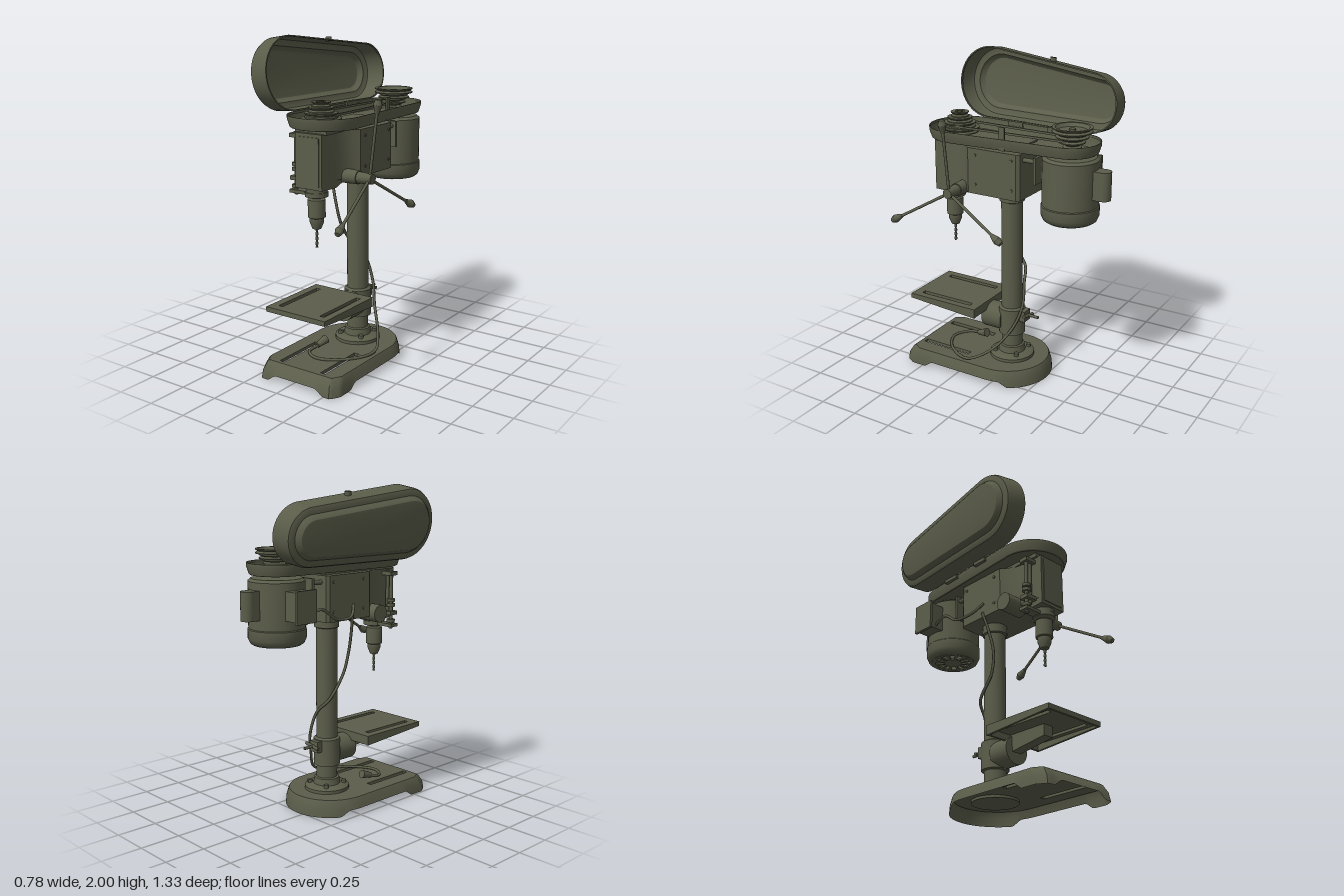
import * as THREE from 'three';
import { toCreasedNormals } from 'three/addons/utils/BufferGeometryUtils.js';

const paint = new THREE.MeshStandardMaterial({ color: 0x5b5d4a, side: THREE.DoubleSide });
paint.name = 'olive paint';
const CX = 0.045; // shared centre line of column, spindle and motor
const V = (x, y, z) => new THREE.Vector3(x, y, z);

export function createModel() {
  const model = new THREE.Group();
  model.name = 'drillPress';

  const add = (name, geo, x = 0, y = 0, z = 0, parent = model) => {
    const m = new THREE.Mesh(geo, paint);
    m.name = name;
    m.position.set(x, y, z);
    parent.add(m);
    return m;
  };
  const box = (name, x0, x1, y0, y1, z0, z1, parent) =>
    add(name, new THREE.BoxGeometry(x1 - x0, y1 - y0, z1 - z0), (x0 + x1) / 2, (y0 + y1) / 2, (z0 + z1) / 2, parent);
  // profile: [radius, y] pairs turned about a vertical axis
  const lathe = (name, profile, x, z, n = 32, parent) =>
    add(name, toCreasedNormals(new THREE.LatheGeometry(profile.map(p => new THREE.Vector2(p[0], p[1])), n), 0.6), x, 0, z, parent);
  const rod = (name, a, b, r0, r1 = r0, n = 12, parent) => {
    const d = b.clone().sub(a);
    const m = add(name, new THREE.CylinderGeometry(r1, r0, d.length(), n), 0, 0, 0, parent);
    m.position.copy(a).addScaledVector(d, 0.5);
    m.quaternion.setFromUnitVectors(V(0, 1, 0), d.normalize());
    return m;
  };
  const cable = (name, pts, r) =>
    add(name, new THREE.TubeGeometry(new THREE.CatmullRomCurve3(pts.map(p => V(...p))), 100, r, 8));
  // flat plan shape of [x, z] points, extruded upward from y0 to y1
  const planShape = pts => new THREE.Shape(pts.map(p => new THREE.Vector2(p[0], -p[1])));
  const slab = (name, shape, y0, y1) => add(name, toCreasedNormals(
    new THREE.ExtrudeGeometry(shape, { depth: y1 - y0, bevelEnabled: false }).rotateX(-Math.PI / 2), 0.6), 0, y0, 0);
  const slot = (shape, x0, x1, z0, z1) => shape.holes.push(new THREE.Path(
    [[x0, z0], [x0, z1], [x1, z1], [x1, z0]].map(p => new THREE.Vector2(p[0], -p[1]))));
  // skin over matching closed rings, with an optional cap on the last
  const loft = (rings, cap) => {
    const n = rings[0].length, pos = rings.flat(2), idx = [];
    for (let r = 0; r + 1 < rings.length; r++)
      for (let i = 0; i < n; i++) {
        const a = r * n + i, b = r * n + (i + 1) % n;
        idx.push(a, a + n, b, b, a + n, b + n);
      }
    if (cap) {
      const last = rings[rings.length - 1], c = pos.length / 3, o = c - n;
      pos.push(CX, last[0][1], 0);
      for (let i = 0; i < n; i++) idx.push(o + i, c, o + (i + 1) % n);
    }
    const g = new THREE.BufferGeometry();
    g.setAttribute('position', new THREE.Float32BufferAttribute(pos, 3));
    g.setIndex(idx);
    return toCreasedNormals(g, 0.5);
  };
  // outline around a front circle and a back circle
  const hull = (z1, r1, z2, r2, y, inset = 0, n = 28) => {
    const al = Math.asin((r1 - r2) / (z1 - z2)), pts = [];
    const arc = (z, r, t0, t1) => {
      for (let i = 0; i <= n; i++) {
        const t = t0 + (t1 - t0) * i / n;
        pts.push([CX + (r - inset) * Math.cos(t), y, z + (r - inset) * Math.sin(t)]);
      }
    };
    arc(z1, r1, -al, Math.PI + al);
    arc(z2, r2, Math.PI + al, 2 * Math.PI - al);
    return pts;
  };

  // Base: flared skirt with arched feet and a slotted top
  const plan = [[-0.285, 0.58], [-0.25, 0.64], [0.25, 0.64], [0.285, 0.58]];
  for (let i = 0; i <= 24; i++) {
    const t = Math.PI * i / 24;
    plan.push([0.285 * Math.cos(t), 0.02 - 0.285 * Math.sin(t)]);
  }
  const fine = planShape(plan.concat([plan[0]])).getSpacedPoints(160).map(p => [p.x, -p.y]);
  const ramp = (v, lo, hi) => THREE.MathUtils.clamp(Math.min(v - lo, hi - v) / 0.05, 0, 1);
  const baseRing = (s, yOf) => fine.map(([x, z]) => [CX + x * s, yOf(x, z), 0.02 + (z - 0.02) * s]);
  const arch = (x, z) => 0.038 * (z > 0.61 ? ramp(x, -0.2, 0.2) : ramp(z, -0.12, 0.48));
  add('baseSkirt', loft([baseRing(1, arch), baseRing(0.985, () => 0.05), baseRing(0.94, () => 0.095), baseRing(0.92, () => 0.105)]));
  const top = planShape(plan.map(([x, z]) => [CX + x * 0.92, 0.02 + (z - 0.02) * 0.92]));
  for (const s of [-1, 1]) slot(top, CX + s * 0.15 - 0.017, CX + s * 0.15 + 0.017, 0.22, 0.565);
  slab('baseTop', top, 0.085, 0.105);

  // Column with bolted flange
  lathe('columnFlange', [[0, 0.07], [0.14, 0.07], [0.14, 0.125], [0.125, 0.135], [0.085, 0.14], [0.078, 0.18], [0.066, 0.185]], CX, -0.01, 40);
  for (let i = 0; i < 4; i++) {
    const t = Math.PI / 4 + i * Math.PI / 2;
    add('flangeBolt', new THREE.CylinderGeometry(0.016, 0.016, 0.022, 6), CX + 0.108 * Math.cos(t), 0.145, -0.01 + 0.108 * Math.sin(t));
  }
  lathe('column', [[0.066, 0.1], [0.066, 1.22]], CX, -0.01);
  lathe('headCollar', [[0.066, 1.14], [0.077, 1.145], [0.077, 1.21]], CX, -0.01);

  // Table: slotted plate, tapering side walls, tilting bracket
  const plate = planShape([[-0.17, 0.625], [0.255, 0.625], [0.255, 0.14], [-0.17, 0.14]]);
  for (const s of [-1, 1]) slot(plate, CX + s * 0.15 - 0.015, CX + s * 0.15 + 0.015, 0.2, 0.57);
  slab('tablePlate', plate, 0.437, 0.455);
  const wedge = (name, x, w, pts) => add(name, new THREE.ExtrudeGeometry(
    new THREE.Shape(pts.map(p => new THREE.Vector2(-p[0], p[1]))), { depth: w, bevelEnabled: false }).rotateY(Math.PI / 2), x, 0, 0);
  for (const x of [-0.17, 0.24]) wedge('tableSide', x, 0.015, [[0.625, 0.455], [0.625, 0.425], [0.14, 0.395], [0.14, 0.455]]);
  box('tableFront', -0.17, 0.255, 0.425, 0.45, 0.61, 0.625);
  box('tableBack', -0.17, 0.255, 0.397, 0.45, 0.14, 0.155);
  wedge('tableRib', CX - 0.035, 0.07, [[0.42, 0.44], [0.42, 0.37], [0.16, 0.335], [0.16, 0.44]]);
  rod('tiltBoss', V(CX, 0.35, 0.03), V(CX, 0.35, 0.168), 0.085, 0.085, 32);
  lathe('tableClamp', [[0.066, 0.26], [0.083, 0.265], [0.083, 0.435], [0.066, 0.445]], CX, -0.01);
  box('clampLug', CX - 0.035, CX + 0.035, 0.36, 0.43, -0.12, -0.08);
  rod('clampScrew', V(CX, 0.4, -0.1), V(CX, 0.4, -0.2), 0.009);
  rod('clampLever', V(CX - 0.05, 0.39, -0.13), V(CX + 0.06, 0.41, -0.13), 0.01);

  // Head casting: narrow nose flaring into the wide body
  const half = [[0.093, 0.485], [0.095, 0.36], [0.105, 0.29], [0.13, 0.235], [0.16, 0.2], [0.16, -0.13], [0.145, -0.15]];
  const head = half.map(([x, z]) => [CX + x, z]).concat(half.map(([x, z]) => [CX - x, z]).reverse());
  slab('headBody', planShape(head), 1.2, 1.48);
  wedge('headNose', CX - 0.093, 0.186, [[0.485, 1.21], [0.485, 1.16], [0.35, 1.155], [0.22, 1.2], [0.22, 1.21]]);
  box('frontPanel', CX - 0.075, CX + 0.075, 1.18, 1.46, 0.48, 0.49);
  box('trayMount', CX - 0.11, CX + 0.11, 1.475, 1.51, -0.12, 0.46);
  for (const z of [-0.1, 0.15]) for (const y of [1.26, 1.44])
    rod('headScrew', V(CX - 0.166, y, z), V(CX + 0.166, y, z), 0.009, 0.009, 8);
  rod('springCap', V(-0.15, 1.215, 0.265), V(0, 1.215, 0.265), 0.055, 0.055, 24);

  // Quill, chuck and twist drill
  lathe('quill', [[0, 1.17], [0.062, 1.17], [0.062, 1.135], [0.068, 1.135], [0.068, 1.108], [0.035, 1.1], [0.035, 1.09]], CX, 0.41);
  lathe('chuck', [[0.03, 1.1], [0.052, 1.09], [0.052, 0.985], [0.042, 0.98], [0.042, 0.955], [0.026, 0.915], [0.008, 0.91]], CX, 0.41, 24);
  const bit = new THREE.BoxGeometry(0.017, 0.12, 0.007, 1, 30, 1), bp = bit.attributes.position;
  for (let i = 0; i < bp.count; i++) {
    const t = bp.getY(i) * 110, x = bp.getX(i), z = bp.getZ(i);
    bp.setXYZ(i, x * Math.cos(t) - z * Math.sin(t), bp.getY(i), x * Math.sin(t) + z * Math.cos(t));
  }
  bit.computeVertexNormals();
  add('drillBit', bit, CX, 0.86, 0.41);

  // Depth stop beside the nose
  box('stopArm', -0.13, CX, 1.112, 1.132, 0.38, 0.44);
  rod('stopRod', V(-0.1, 1.1, 0.41), V(-0.1, 1.47, 0.41), 0.012);
  rod('stopGuide', V(-0.07, 1.17, 0.41), V(-0.07, 1.47, 0.41), 0.012);
  for (const y of [1.2, 1.45]) box('stopBracket', -0.125, -0.03, y - 0.012, y + 0.012, 0.38, 0.44);
  for (const y of [1.15, 1.25, 1.28]) add('stopNut', new THREE.CylinderGeometry(0.026, 0.026, 0.02, 8), -0.1, y, 0.41);

  // Feed hub with three handles
  rod('feedBoss', V(0.12, 1.215, 0.265), V(0.24, 1.215, 0.265), 0.043, 0.04, 24);
  rod('feedHub', V(0.24, 1.215, 0.265), V(0.335, 1.215, 0.265), 0.034, 0.03, 24);
  for (let i = 0; i < 3; i++) {
    const t = Math.PI / 2 + i * Math.PI * 2 / 3;
    const at = d => V(0.313 + 0.055 * d / 0.45, 1.215 + d * Math.sin(t), 0.265 + d * Math.cos(t));
    rod('feedHandle', at(0), at(0.4), 0.009);
    rod('handleGrip', at(0.375), at(0.425), 0.012, 0.026);
    rod('handleGripEnd', at(0.425), at(0.455), 0.026, 0.016);
  }

  // Motor with slotted fan cover, terminal box and capacitor
  lathe('motor', [[0, 1.49], [0.06, 1.485], [0.15, 1.48], [0.168, 1.465], [0.168, 1.19], [0.173, 1.185],
    [0.173, 1.13], [0.16, 1.1], [0.145, 1.09], [0.135, 1.09]], CX, -0.405, 40);
  const grille = new THREE.Shape().absarc(CX, 0.405, 0.138, 0, Math.PI * 2);
  for (let i = 0; i < 12; i++) {
    const t = i * Math.PI / 6, p = new THREE.Path();
    p.absarc(CX, 0.405, 0.115, t + 0.1, t + 0.42, false);
    p.absarc(CX, 0.405, 0.055, t + 0.42, t + 0.1, true);
    p.closePath();
    grille.holes.push(p);
  }
  slab('fanGrille', grille, 1.088, 1.098);
  lathe('motorShaft', [[0.02, 1.48], [0.02, 1.54]], CX, -0.41, 16);
  box('terminalBox', -0.205, -0.1, 1.25, 1.42, -0.47, -0.34);
  box('terminalCover', -0.22, -0.203, 1.24, 1.43, -0.48, -0.33);
  lathe('capacitor', [[0, 1.42], [0.043, 1.42], [0.043, 1.25], [0, 1.25]], CX, -0.618, 20);
  box('capacitorSaddle', CX - 0.043, CX + 0.043, 1.25, 1.42, -0.618, -0.56);
  for (const x of [CX - 0.1, CX + 0.1]) rod('motorSlideBar', V(x, 1.44, -0.1), V(x, 1.44, -0.24), 0.014);
  box('motorPlate', CX - 0.13, CX + 0.13, 1.31, 1.47, -0.245, -0.228);

  // Belt tray, stepped pulleys and belt
  const guard = (inset, y) => hull(0.32, 0.22, -0.4, 0.178, y, inset);
  add('beltTray', loft([guard(0.006, 1.555), guard(0.006, 1.57), guard(0, 1.57), guard(0, 1.55), guard(0.014, 1.505), guard(0.02, 1.5)], true));
  const steps = [];
  for (let i = 0; i < 4; i++) {
    const r = 0.118 - i * 0.021, y = i * 0.031;
    steps.push([r, y], [r, y + 0.006], [r - 0.014, y + 0.014], [r, y + 0.023], [r, y + 0.029]);
  }
  steps.push([0.03, 0.121], [0.03, 0.108], [0.016, 0.108], [0.016, 0.125], [0, 0.125]);
  lathe('spindlePulley', steps.map(([r, y]) => [r, 1.525 + y]), CX, 0.36, 28);
  lathe('motorPulley', [[0, 1.64], [0.02, 1.64], [0.02, 1.63], [0.085, 1.63], [0.1, 1.65]]
    .concat(steps.slice(0, 20).map(([r, y]) => [r, 1.65 - y])), CX, -0.41, 28);
  const belt = (inset, y) => hull(0.36, 0.088, -0.41, 0.06, y, inset);
  add('belt', loft([belt(0, 1.565), belt(0, 1.578), belt(0.01, 1.578), belt(0.01, 1.565), belt(0, 1.565)]));
  for (const x of [-0.09, 0.175]) for (const z of [0, 0.2])
    add('trayBolt', new THREE.CylinderGeometry(0.01, 0.01, 0.012, 8), x, 1.506, z);
  box('latchPlate', 0.222, 0.234, 1.5, 1.64, -0.07, -0.035);

  // Lid: dished cover swung open about the tray's left edge
  const lid = new THREE.Group();
  lid.name = 'lid';
  const pivot = V(-0.175, 1.568, 0.307);
  lid.position.copy(pivot);
  lid.quaternion.setFromAxisAngle(V(-0.058, 0, 0.998).normalize(), THREE.MathUtils.degToRad(97));
  model.add(lid);
  const shell = new THREE.Group();
  shell.name = 'lidShell';
  shell.position.copy(pivot).negate();
  lid.add(shell);
  add('lidCover', loft([[0.008, 0.012], [0.008, 0], [0, 0], [0.004, 0.11], [0.012, 0.127], [0.028, 0.134], [0.05, 0.136],
    [0.062, 0.155], [0.075, 0.166], [0.09, 0.168]].map(([i, d]) => guard(i, 1.57 + d)), true), 0, 0, 0, shell);
  rod('lidKnob', V(0.235, 1.62, -0.09), V(0.262, 1.62, -0.09), 0.019, 0.019, 16, shell);
  for (const [z0, z1] of [[-0.26, -0.15], [0.03, 0.13]]) {
    const x = -0.158 - 0.058 * ((z0 + z1) / 2);
    box('hinge', x - 0.018, x + 0.016, 1.545, 1.575, z0, z1);
  }

  // Cables and plug
  cable('powerCable', [[-0.12, 1.23, 0.05], [-0.09, 1.12, 0.07], [-0.055, 0.98, 0.08], [-0.04, 0.85, 0.05], [-0.03, 0.7, -0.06],
    [0.04, 0.62, -0.095], [0.09, 0.47, -0.11], [0.14, 0.32, -0.06], [0.23, 0.19, 0.04], [0.29, 0.125, 0.17],
    [0.2, 0.116, 0.35], [0.05, 0.116, 0.43], [-0.05, 0.116, 0.37], [-0.04, 0.13, 0.28]], 0.009);
  rod('plug', V(-0.042, 0.13, 0.3), V(-0.03, 0.15, 0.23), 0.016, 0.028);
  cable('motorCable', [[-0.16, 1.27, -0.36], [-0.17, 1.3, -0.25], [-0.17, 1.23, -0.13], [-0.16, 1.23, 0], [-0.12, 1.29, 0.06]], 0.009);
  return model;
}
